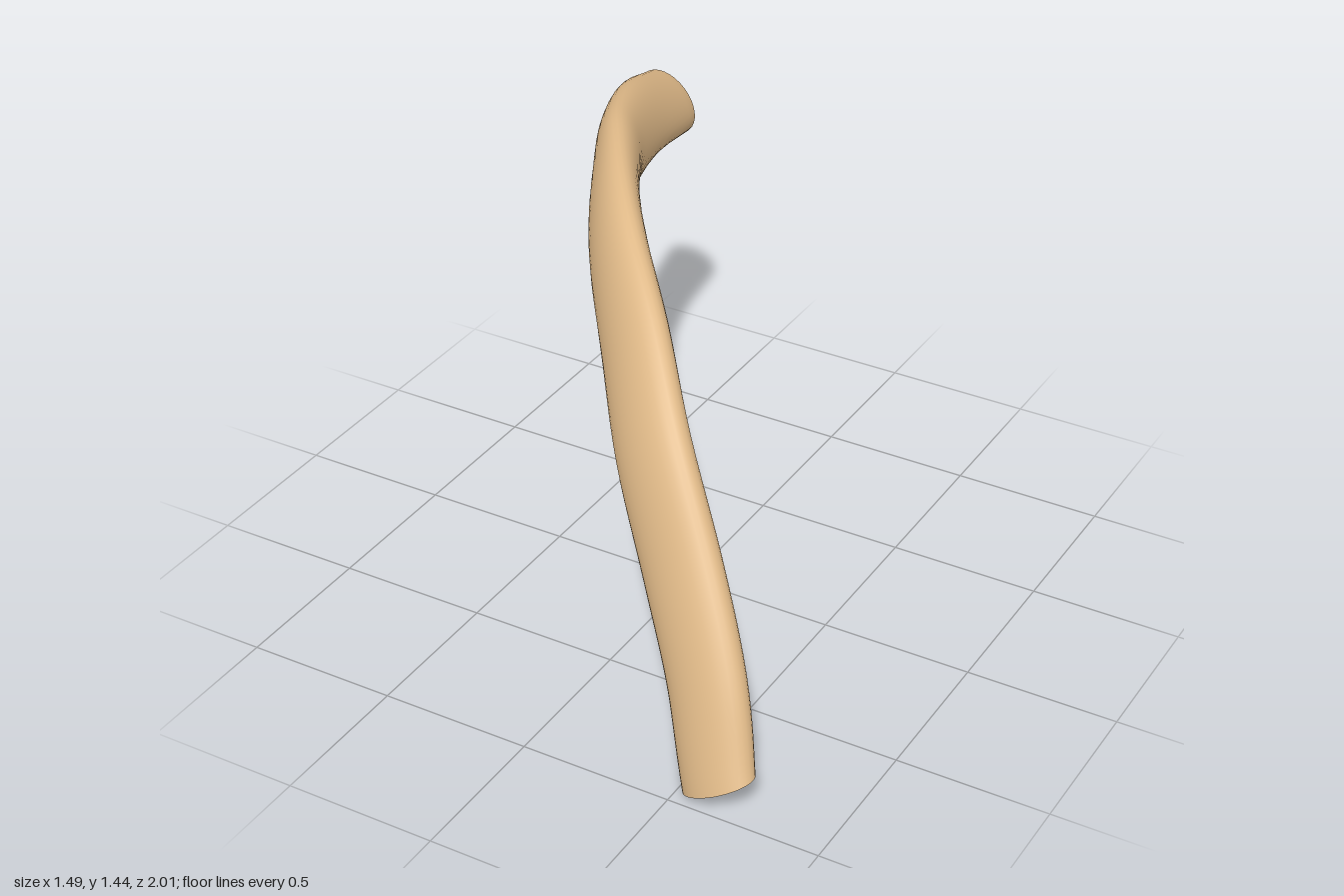
import * as THREE from 'three';

const tan = new THREE.MeshStandardMaterial({ color: 0xdeb887, side: THREE.DoubleSide });
tan.name = 'tan';

const toVectors = (list) => list.map((p) => new THREE.Vector3(...p));

// Centre line from the open foot up and over to the closed tip
const path = new THREE.CatmullRomCurve3(toVectors([
  [0.63, 0.065, 0.925], [0.525, 0.335, 0.815], [0.375, 0.59, 0.69], [0.185, 0.865, 0.535],
  [0.005, 1.08, 0.335], [-0.165, 1.215, 0.14], [-0.285, 1.28, -0.03], [-0.395, 1.308, -0.23],
  [-0.475, 1.3, -0.4], [-0.565, 1.258, -0.66], [-0.645, 1.167, -0.973],
]), false, 'catmullrom');

// Long half-axis of the oval section at each point of the centre line
const wide = new THREE.CatmullRomCurve3(toVectors([
  [0.115, 0.06, 0], [0.122, 0.068, 0], [0.122, 0.08, 0], [0.11, 0.098, 0],
  [0.09, 0.117, 0], [0.062, 0.13, 0], [0.038, 0.136, 0], [0.005, 0.14, 0],
  [-0.022, 0.137, 0], [-0.055, 0.118, 0], [-0.085, 0.087, 0],
]), false, 'catmullrom');

const NARROW = 0.075; // short half-axis
const SIDES = 32;
const STEPS = 60;
const footNormal = new THREE.Vector3(-0.46, 0.89, 0);

function buildGeometry() {
  const positions = [];
  const index = [];

  // One oval ring, optionally shrunk and pushed along the path for the cap
  function addRing(t, scale = 1, push = 0) {
    const along = path.getTangent(t);
    if (t < 0.08) along.lerp(footNormal, 1 - t / 0.08).normalize();
    const w = wide.getPoint(t);
    const length = w.length();
    w.addScaledVector(along, -w.dot(along)).setLength(length * scale);
    const n = along.clone().cross(w).setLength(NARROW * scale);
    const centre = path.getPoint(t).addScaledVector(along, push);
    for (let j = 0; j < SIDES; j++) {
      const a = (j / SIDES) * Math.PI * 2;
      const p = centre.clone().addScaledVector(w, Math.cos(a)).addScaledVector(n, Math.sin(a));
      positions.push(p.x, p.y, p.z);
    }
  }

  for (let i = 0; i <= STEPS; i++) addRing(i / STEPS);
  // Softly rounded closed tip
  const cap = [[0.96, 0.006], [0.85, 0.011], [0.5, 0.014], [0.02, 0.015]];
  cap.forEach(([scale, push]) => addRing(1, scale, push));

  const rings = STEPS + cap.length;
  for (let i = 0; i < rings; i++) {
    for (let j = 0; j < SIDES; j++) {
      const k = (j + 1) % SIDES;
      const a = i * SIDES + j, b = i * SIDES + k;
      index.push(a, b, a + SIDES, b, b + SIDES, a + SIDES);
    }
  }
  // Close the centre of the tip
  for (let j = 1; j < SIDES - 1; j++) {
    const first = rings * SIDES;
    index.push(first, first + j, first + j + 1);
  }

  const geometry = new THREE.BufferGeometry();
  geometry.setAttribute('position', new THREE.Float32BufferAttribute(positions, 3));
  geometry.setIndex(index);
  geometry.computeVertexNormals();
  return geometry;
}

export function createModel() {
  const group = new THREE.Group();
  group.name = 'curvedTube';
  const tube = new THREE.Mesh(buildGeometry(), tan);
  tube.name = 'ovalTube';
  group.add(tube);
  return group;
}
